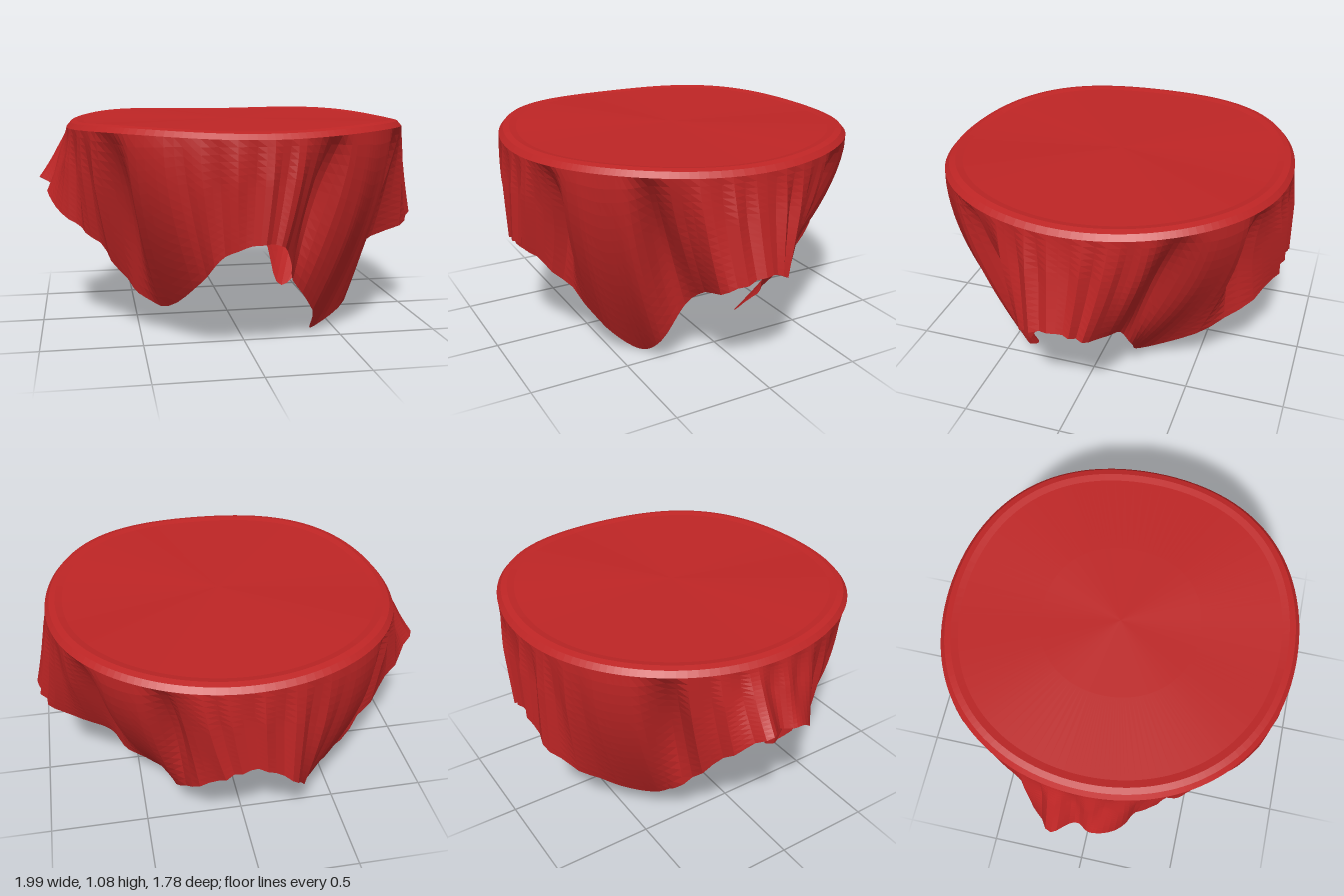
import * as THREE from 'three';

// Hem control points: [rim angle in degrees from +x towards +z, x, y, z]
const HEM = [
  [0, 0.99, 0.58, 0], [18, 0.94, 0.52, 0.2], [32, 0.64, 0.37, 0.22], [41, 0.56, 0.13, 0.34],
  [49, 0.38, 0, 0.37], [56, 0.34, 0.15, 0.54], [66, 0.21, 0.34, 0.66], [78, 0.12, 0.55, 0.85],
  [90, 0, 0.57, 0.88], [104, -0.15, 0.51, 0.83], [117, -0.24, 0.37, 0.72], [132, -0.4, 0.15, 0.34],
  [141, -0.53, 0.24, 0.3], [153, -0.7, 0.48, 0.3], [165, -0.84, 0.59, 0.22], [172, -0.96, 0.71, 0.09],
  [180, -0.92, 0.71, 0], [187, -0.99, 0.76, -0.12], [202, -0.83, 0.59, -0.27], [218, -0.57, 0.27, -0.37],
  [229, -0.42, 0.17, -0.44], [240, -0.3, 0.26, -0.64], [254, -0.2, 0.46, -0.85], [270, 0, 0.6, -0.88],
  [288, 0.18, 0.53, -0.85], [300, 0.33, 0.28, -0.58], [311, 0.36, 0.07, -0.21], [323, 0.55, 0.25, -0.22],
  [332, 0.68, 0.41, -0.19], [342, 0.92, 0.51, -0.13],
];
const LOBES = [52, 125, 231, 310]; // angles of the four hanging corners
const CREASES = [35, 68, 139, 215, 296, 325]; // deep folds beside the corners
const STEPS = 5; // columns between hem points
const COLS = HEM.length * STEPS;
const CX = 0.03;

// Rows of points wrapped around the table, joined into a faceted surface
function loopSurface(rows, pointAt) {
  const pos = [], index = [];
  for (let j = 0; j <= rows; j++) {
    for (let i = 0; i < COLS; i++) pos.push(...pointAt(i, j / rows));
  }
  for (let j = 0; j < rows; j++) {
    for (let i = 0; i < COLS; i++) {
      const k = (i + 1) % COLS;
      const a = j * COLS + i, b = j * COLS + k, c = a + COLS, d = b + COLS;
      index.push(a, b, c, b, d, c);
    }
  }
  const g = new THREE.BufferGeometry();
  g.setAttribute('position', new THREE.Float32BufferAttribute(pos, 3));
  g.setIndex(index);
  g.computeVertexNormals();
  return g;
}

// Angle around the rim for a column
function columnAngle(i) {
  const n = Math.floor(i / STEPS), f = (i % STEPS) / STEPS;
  const next = n + 1 < HEM.length ? HEM[n + 1][0] : 360;
  return HEM[n][0] + (next - HEM[n][0]) * f;
}

// Rim of the table top, a little fuller and higher towards the corners
const rimRadius = (a) => 0.874 + 0.02 * Math.sin(2 * a) ** 2;
const rimY = (a) => 1.045 - 0.008 * Math.cos(4 * a);

export function createModel() {
  const group = new THREE.Group();
  group.name = 'drapedTablecloth';
  const red = new THREE.MeshStandardMaterial({ color: 0xbe2525, side: THREE.DoubleSide, flatShading: true });
  red.name = 'red cloth';

  const hem = new THREE.CatmullRomCurve3(HEM.map((p) => new THREE.Vector3(p[1], p[2], p[3])), true, 'centripetal');

  // Flat table top, rounded over at the rim: [share of rim radius, y]
  const profile = [[0, 1.07], [0.45, 1.07], [0.9, 1.07], [0.94, 1.077], [0.975, 1.07], [1, 1.045]];
  const top = new THREE.Mesh(loopSurface(profile.length - 1, (i, t) => {
    const a = THREE.MathUtils.degToRad(columnAngle(i));
    const [share, y] = profile[Math.round(t * (profile.length - 1))];
    const r = share * rimRadius(a);
    return [CX + r * Math.cos(a), y + share * (rimY(a) - 1.045), r * Math.sin(a)];
  }), red);
  top.name = 'clothTop';
  group.add(top);

  // Hanging skirt: rim to hem, with corner ridges, flanking creases and pleats
  const skirt = new THREE.Mesh(loopSurface(16, (i, t) => {
    const deg = columnAngle(i), a = THREE.MathUtils.degToRad(deg);
    const cos = Math.cos(a), sin = Math.sin(a), r = rimRadius(a);
    const h = hem.getPoint(i / COLS);
    const nearest = (list) => Math.min(...list.map((l) => Math.abs(deg - l)));
    const ridge = Math.exp(-((nearest(LOBES) / 12) ** 2));
    const crease = Math.exp(-((nearest(CREASES) / 4.5) ** 2));
    const mid = Math.sin(Math.PI * t ** 0.85);
    const pleat = 0.022 * Math.sin(a * 37 + Math.sin(a * 5)) * (1 - ridge) * Math.min(1, t * 2.5);
    const out = 0.03 * ridge * mid - 0.1 * crease * mid + pleat * (1 - 0.5 * t);
    const s = t ** 1.4;
    return [
      THREE.MathUtils.lerp(CX + r * cos, h.x, s) + out * cos,
      THREE.MathUtils.lerp(rimY(a), h.y, t),
      THREE.MathUtils.lerp(r * sin, h.z, s) + out * sin,
    ];
  }), red);
  skirt.name = 'clothSkirt';
  group.add(skirt);

  return group;
}
